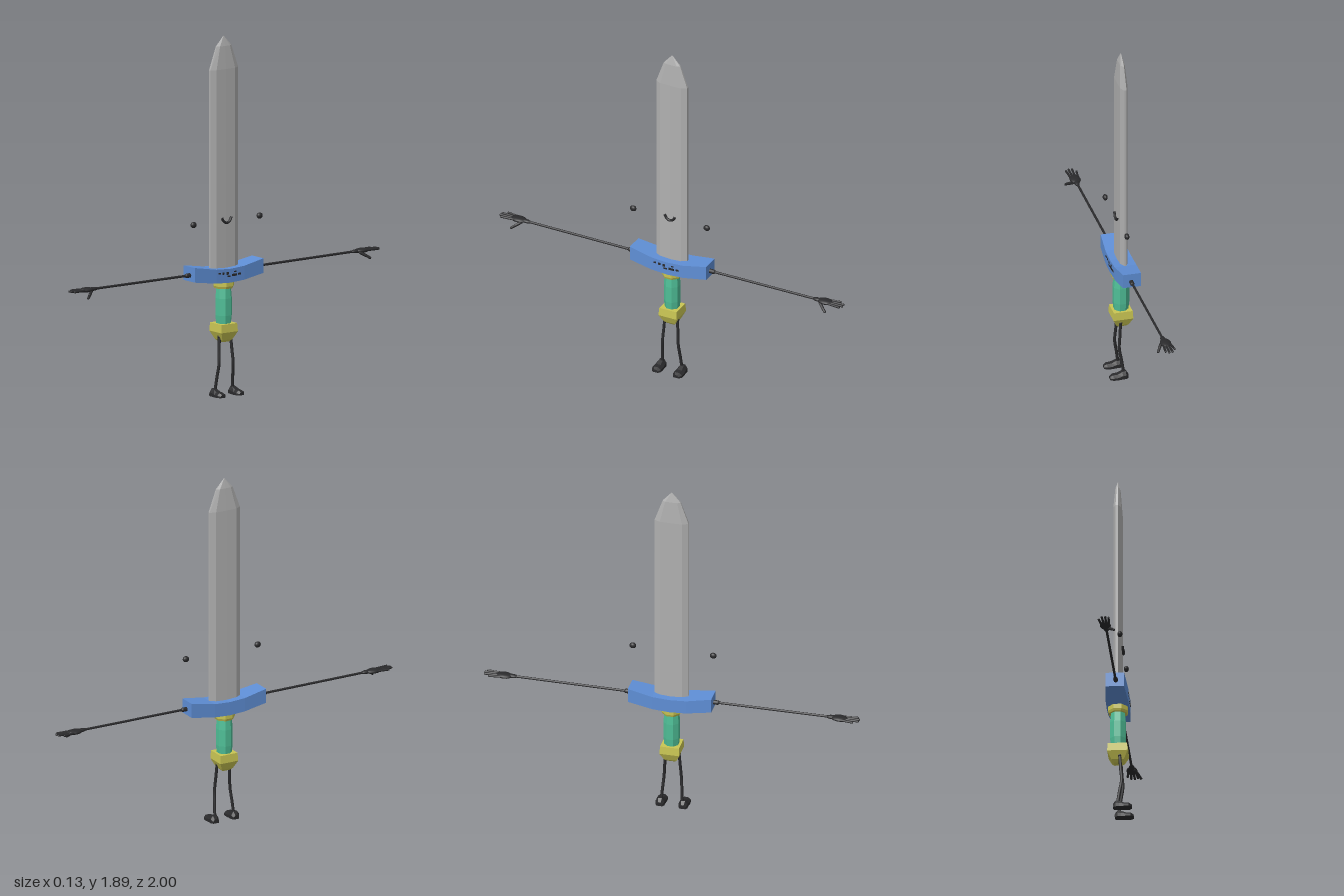
import * as THREE from 'three';

const mat = (name, color, flat) => {
  const m = new THREE.MeshStandardMaterial({ color });
  m.name = name;
  m.flatShading = !!flat;
  return m;
};

// Closed solid through rings of points, each ring counter-clockwise about the travel direction
function loft(rings) {
  const n = rings[0].length, pos = [];
  const tri = (...pts) => pts.forEach((p) => pos.push(...p));
  for (let i = 0; i < rings.length - 1; i++) {
    for (let j = 0; j < n; j++) {
      const k = (j + 1) % n;
      const a = rings[i][j], b = rings[i][k], c = rings[i + 1][k], d = rings[i + 1][j];
      tri(a, b, c, a, c, d);
    }
  }
  const first = rings[0], last = rings[rings.length - 1];
  for (let j = 1; j < n - 1; j++) {
    tri(first[0], first[j + 1], first[j]);
    tri(last[0], last[j], last[j + 1]);
  }
  const g = new THREE.BufferGeometry();
  g.setAttribute('position', new THREE.Float32BufferAttribute(pos, 3));
  g.computeVertexNormals();
  return g;
}

export function createModel() {
  const root = new THREE.Group();
  const steel = mat('steelGrey', 0xb0b0b0, true);
  const blue = mat('guardBlue', 0x5f8fd6, true);
  const yellow = mat('brassYellow', 0xc9c553, true);
  const green = mat('gripGreen', 0x4fbf97, true);
  const black = mat('black', 0x2a2a2c);
  const CX = -0.011; // centre line of the sword

  const add = (name, geo, material, parent = root) => {
    const m = new THREE.Mesh(geo, material);
    m.name = name;
    parent.add(m);
    return m;
  };
  const tube = (name, pts, r, parent) => add(name, new THREE.TubeGeometry(
    new THREE.CatmullRomCurve3(pts.map((p) => new THREE.Vector3(...p))), 16, r, 8), black, parent);
  const capsule = (name, a, b, r, parent) => {
    const A = new THREE.Vector3(...a), B = new THREE.Vector3(...b), d = B.clone().sub(A);
    const m = add(name, new THREE.CapsuleGeometry(r, d.length(), 4, 8), black, parent);
    m.position.copy(A).add(B).multiplyScalar(0.5);
    m.quaternion.setFromUnitVectors(new THREE.Vector3(0, 1, 0), d.normalize());
    return m;
  };
  const ball = (name, p, s, parent) => {
    const m = add(name, new THREE.SphereGeometry(1, 14, 10), black, parent);
    m.position.set(...p);
    m.scale.set(...s);
    return m;
  };

  // Blade: bevelled section tapering to a point
  const section = [[0.006, 0.09], [0.02, 0.06], [0.021, 0], [0.02, -0.06], [0.006, -0.09],
    [-0.006, -0.09], [-0.02, -0.06], [-0.021, 0], [-0.02, 0.06], [-0.006, 0.09]];
  const bladeRings = [[0.64, 1, 1], [1.715, 1, 1], [1.835, 0.6, 0.53], [1.887, 0.03, 0.02]];
  add('blade', loft(bladeRings.map(([y, sx, sz]) =>
    section.map(([x, z]) => [CX + x * sx, y, z * sz]))), steel);

  // Guard: block with both ends swept upward
  const guardRings = [[-0.222, 0.048, 0.621, 0.698], [-0.09, 0.058, 0.602, 0.675], [0, 0.059, 0.597, 0.67],
    [0.09, 0.058, 0.602, 0.675], [0.222, 0.048, 0.621, 0.698]];
  add('guard', loft(guardRings.map(([z, w, lo, hi]) =>
    [[CX + w, lo, z], [CX + w, hi, z], [CX - w, hi, z], [CX - w, lo, z]])), blue);

  // Small dark marks on the guard
  for (const [z, y, w, h] of [[0.07, 0.652, 0.014, 0.008], [0.045, 0.65, 0.012, 0.012], [0.018, 0.648, 0.014, 0.014],
    [0.01, 0.632, 0.02, 0.008], [-0.025, 0.636, 0.03, 0.012], [-0.03, 0.653, 0.014, 0.006], [-0.058, 0.638, 0.018, 0.01]]) {
    add('guardMark', new THREE.BoxGeometry(0.006, h, w), black).position.set(0.0465, y, z);
  }

  // Collar and grip, eight-sided
  const lathe = (name, pts, material) => {
    const m = add(name, new THREE.LatheGeometry(pts.map((p) => new THREE.Vector2(...p)), 8), material);
    m.position.x = CX;
    m.rotation.y = Math.PI / 8;
  };
  lathe('collar', [[0, 0.563], [0.05, 0.563], [0.055, 0.575], [0.055, 0.605], [0, 0.605]], yellow);
  lathe('grip', [[0, 0.365], [0.038, 0.365], [0.044, 0.42], [0.044, 0.51], [0.038, 0.57], [0, 0.57]], green);

  // Pommel: square block narrowing downward
  add('pommel', loft([[0.28, 0.02], [0.293, 0.033], [0.335, 0.053], [0.378, 0.05]].map(([y, w]) =>
    [[CX + w, y, w], [CX + w, y, -w], [CX - w, y, -w], [CX - w, y, w]])), yellow);

  // Face: smile on the blade
  tube('mouth', [[0.015, 0.937, 0.031], [0.016, 0.917, 0.02], [0.016, 0.907, 0],
    [0.016, 0.917, -0.02], [0.015, 0.937, -0.031]], 0.007);

  for (const s of [1, -1]) {
    const side = s > 0 ? 'front' : 'back';
    ball(side + 'Eye', [0.015, 0.92, s * 0.214], [0.013, 0.016, 0.018]);

    // Arm with shoulder cuff
    const arm = new THREE.Group();
    arm.name = side + 'Arm';
    root.add(arm);
    capsule('shoulder', [-0.006, 0.653, s * 0.21], [-0.006, 0.653, s * 0.243], 0.012, arm);
    capsule('armRod', [-0.006, 0.653, s * 0.2], [-0.006, 0.655, s * 0.85], 0.0065, arm);

    // Hand
    ball('palm', [-0.008, 0.655, s * 0.892], [0.029, 0.013, 0.045], arm);
    ball('wrist', [-0.006, 0.655, s * 0.85], [0.014, 0.01, 0.03], arm);
    for (const [x0, x1, tip] of [[-0.028, -0.036, 0.966], [-0.015, -0.019, 0.992], [-0.002, -0.001, 0.994], [0.01, 0.016, 0.983]]) {
      capsule('finger', [x0, 0.656, s * 0.905], [x1, 0.656, s * tip], 0.006, arm);
    }
    capsule('thumb', [0.008, 0.648, s * 0.87], [0.026, 0.632, s * 0.895], 0.008, arm);
    capsule('thumbTip', [0.026, 0.632, s * 0.895], [0.037, 0.62, s * 0.912], 0.007, arm);

    // Leg, slightly bent at the knee
    const leg = new THREE.Group();
    leg.name = side + 'Leg';
    root.add(leg);
    tube('legRod', [[0, 0.315, s * 0.036], [0.005, 0.24, s * 0.041], [0.01, 0.165, s * 0.046],
      [0, 0.1, s * 0.051], [-0.01, 0.03, s * 0.056]], 0.008, leg);
    ball('hip', [0, 0.31, s * 0.036], [0.01, 0.01, 0.01], leg);

    // Foot pointing toward the face side
    const zc = s * 0.061;
    add('foot', loft([[-0.032, 0.016, 0.022], [-0.018, 0.024, 0.04], [0, 0.024, 0.037], [0.025, 0.027, 0.026],
      [0.05, 0.026, 0.024], [0.065, 0.015, 0.016]].map(([x, w, h]) =>
      [[h, -0.45], [h, 0.45], [h * 0.5, 1], [0, 1], [0, -1], [h * 0.5, -1]].map(([y, k]) => [x, y, zc + k * w]))), black, leg);
  }
  return root;
}
